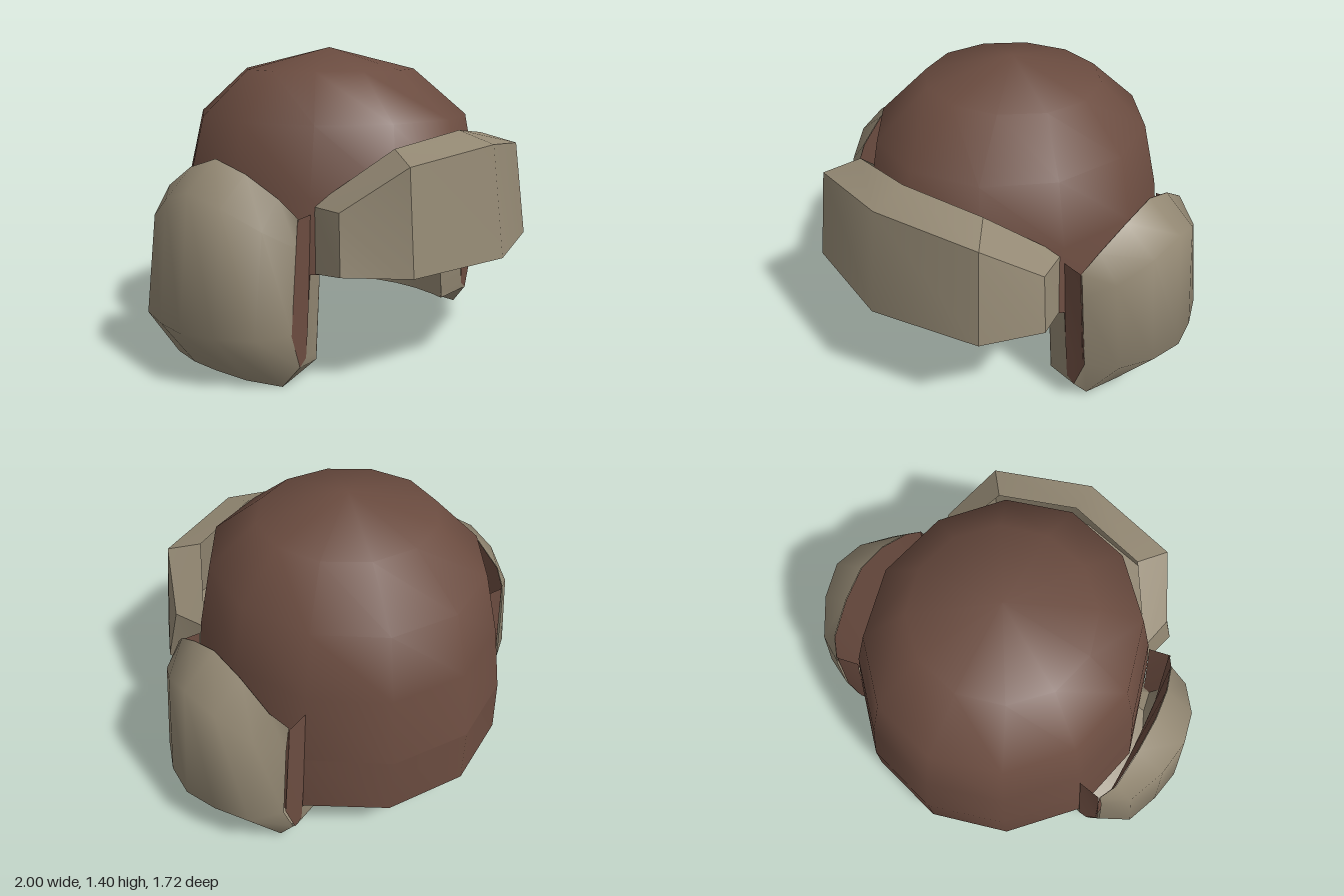
import * as THREE from 'three';
import { toCreasedNormals } from 'three/addons/utils/BufferGeometryUtils.js';

const leather = new THREE.MeshStandardMaterial({ color: 0x6b4c40, side: THREE.DoubleSide });
leather.name = 'brown leather';
const fleece = new THREE.MeshStandardMaterial({ color: 0x938873, side: THREE.DoubleSide });
fleece.name = 'beige fleece';

const CZ = -0.09; // centre of the cap in z

// Skin a grid of columns (left to right seen from outside), each listed top to bottom
function skin(name, cols, material, crease = 0.9) {
  const rows = cols[0].length, idx = [];
  for (let i = 0; i < cols.length - 1; i++) {
    for (let j = 0; j < rows - 1; j++) {
      const a = i * rows + j, d = a + rows;
      idx.push(a, a + 1, d + 1, a, d + 1, d);
    }
  }
  const geo = new THREE.BufferGeometry();
  geo.setAttribute('position', new THREE.Float32BufferAttribute(cols.flat(2), 3));
  geo.setIndex(idx);
  const mesh = new THREE.Mesh(toCreasedNormals(geo, crease), material);
  mesh.name = name;
  return mesh;
}

const mirrorX = (cols) => cols.map((c) => c.map(([x, y, z]) => [-x, y, z])).reverse();

// Point on an elliptical ring; angle 0 is the front, 90 the model's left
function ring(deg, rx, y, rz = rx) {
  const a = THREE.MathUtils.degToRad(deg);
  return [Math.sin(a) * rx, y, CZ + Math.cos(a) * rz];
}

function sweep(from, to, rows) {
  const cols = [];
  for (let d = from; d <= to; d += 30) cols.push(rows(d));
  return cols;
}

// Crown of the cap, cut higher over the face
function addCrown(group) {
  const upper = (d) => {
    const front = Math.cos(THREE.MathUtils.degToRad(d)) > 0.1;
    return [
      ring(d, 0, 1.4), ring(d, 0.41, 1.3, 0.405), ring(d, 0.61, 1.09, front ? 0.67 : 0.65),
      ring(d, 0.68, 0.8, 0.72), ring(d, 0.72, 0.48, 0.77),
    ];
  };
  group.add(skin('crown', sweep(0, 360, upper), leather));
  group.add(skin('crownLowerBack', sweep(60, 300, (d) => [ring(d, 0.72, 0.48, 0.77), ring(d, 0.75, 0.2, 0.77)]), leather));
}

// Fleece lining inside the crown and rolled under the back hem
function addLining(group) {
  group.add(skin('crownLining', sweep(0, 360, (d) => [
    ring(d, 0.72, 0.48, 0.77), ring(d, 0.58, 0.48), ring(d, 0.55, 0.85), ring(d, 0.36, 1.15), ring(d, 0, 1.25),
  ]), fleece));
  group.add(skin('backHem', sweep(120, 240, (d) => [
    ring(d, 0.75, 0.2, 0.77), ring(d, 0.65, 0.13), ring(d, 0.61, 0.13), ring(d, 0.58, 0.49),
  ]), fleece));
}

// Turned-up front brim: columns of top inner, top outer, bottom outer, bottom inner
function addBrim(group) {
  const middle = [[0, 1.05, 0.63], [0, 1.0, 0.8], [0, 0.51, 0.86], [0, 0.48, 0.68]];
  const corner = [[0.37, 1.0, 0.54], [0.47, 0.95, 0.68], [0.5, 0.51, 0.725], [0.4, 0.48, 0.56]];
  const end = [[0.575, 0.76, 0.27], [0.615, 0.76, 0.44], [0.66, 0.51, 0.48], [0.6, 0.48, 0.29]];
  const half = [middle, corner, end];
  group.add(skin('frontBrim', [...mirrorX(half).slice(0, 2), ...half], fleece, 0.6));
  const cap = [[end[1], end[2]], [end[0], end[3]]];
  group.add(skin('brimEndLeft', cap, fleece), skin('brimEndRight', mirrorX(cap), fleece));
}

// Ear flap columns: z, top y, then x of rim, shoulder, belly, bottom, and bottom y
const FLAP = [
  [0.30, 0.73, 0.70, 0.71, 0.75, 0.70, 0.10],
  [0.22, 0.81, 0.73, 0.83, 0.88, 0.72, 0.00],
  [0.07, 0.90, 0.76, 0.91, 0.965, 0.78, 0.01],
  [-0.09, 0.95, 0.77, 0.935, 1.0, 0.80, 0.02],
  [-0.25, 0.90, 0.765, 0.91, 0.965, 0.78, 0.015],
  [-0.41, 0.80, 0.75, 0.84, 0.90, 0.73, 0.01],
  [-0.48, 0.74, 0.71, 0.73, 0.76, 0.71, 0.11],
];

function addFlap(group, side) {
  const put = (name, cols, mat, crease) =>
    group.add(skin(name + side, side === 'Left' ? cols : mirrorX(cols), mat, crease));
  const lining = (z) => {
    const t = (z - CZ) / 0.39;
    return { x: 0.61 - 0.08 * t * t, z: CZ + t * 0.34 };
  };
  // Padded outside
  put('earFlap', FLAP.map(([z, ty, x0, x1, x2, x3, by]) => [
    [x0, ty, z], [x1, ty - 0.12, z], [x2, 0.25, z], [x3, by, z],
  ]), fleece, 1.0);
  // Underside and the wall against the ear
  put('earFlapLining', FLAP.map(([z, , , , , x3, by]) => {
    const l = lining(z);
    return [[x3, by, z], [l.x, 0.07, l.z], [l.x - 0.03, 0.5, l.z]];
  }), fleece);
  // Leather face turned to the crown
  put('earFlapBacking', FLAP.map(([z, ty, x0]) => {
    const t = (z - CZ) / 0.39;
    return [[x0 - 0.002, ty, z], [0.755 - 0.015 * t * t, 0.25, z]];
  }).reverse(), leather);
  // Walls closing the front and back edges
  for (const [z, flip] of [[0.3, false], [-0.48, true]]) {
    const s = flip ? -1 : 1, l = lining(z);
    const outer = [[0.705, 0.73, z], [0.75, 0.25, z], [0.70, 0.1, z]];
    const seam = [[0.6, 0.73, z - s * 0.02], [0.645, 0.28, z], [0.66, 0.13, z]];
    const seamLow = [[0.62, 0.5, z - s * 0.01], [0.66, 0.13, z], [0.70, 0.1, z]];
    const inner = [[l.x - 0.03, 0.5, l.z], [l.x, 0.1, l.z], [l.x, 0.07, l.z]];
    const order = (a) => (flip ? a.reverse() : a);
    const edge = flip ? 'Back' : 'Front';
    put('earFlapEdge' + edge, order([seam, outer]), leather);
    put('earFlapLiningEdge' + edge, order([inner, seamLow]), fleece);
  }
}

export function createModel() {
  const model = new THREE.Group();
  model.name = 'winterCap';
  addCrown(model);
  addLining(model);
  addBrim(model);
  for (const side of ['Left', 'Right']) {
    const flap = new THREE.Group();
    flap.name = 'earFlapGroup' + side;
    addFlap(flap, side);
    model.add(flap);
  }
  return model;
}
